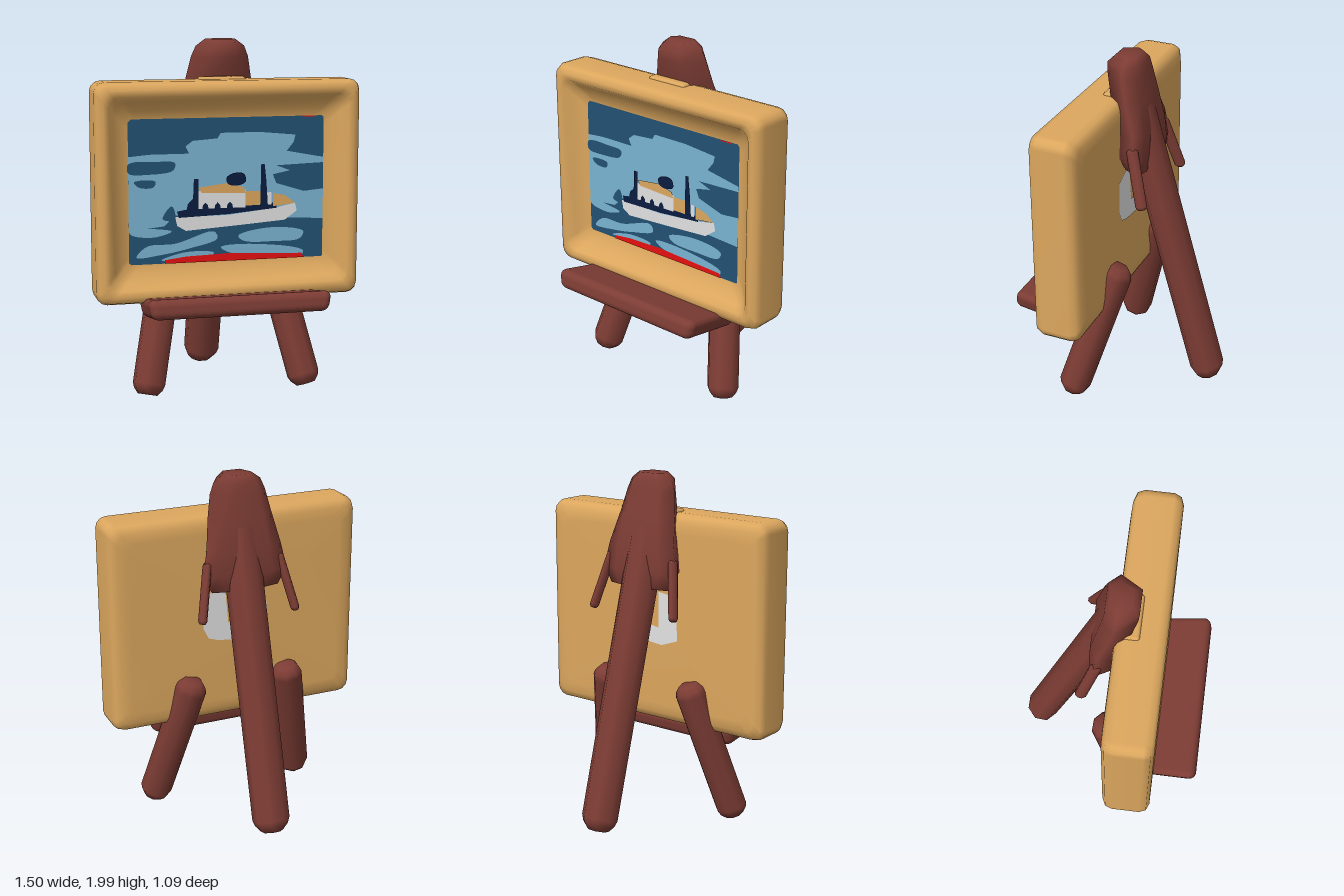
import * as THREE from 'three';
import { RoundedBoxGeometry } from 'three/addons/geometries/RoundedBoxGeometry.js';

const mat = (name, color) => {
  const m = new THREE.MeshStandardMaterial({ color });
  m.name = name;
  return m;
};

// Smooth skin over a list of equal rings, closed at both ends
function loft(rings) {
  const n = rings[0].length, pos = [], idx = [];
  rings.forEach(r => r.forEach(p => pos.push(p.x, p.y, p.z)));
  for (let k = 0; k < rings.length - 1; k++) {
    for (let i = 0; i < n; i++) {
      const a = k * n + i, b = k * n + (i + 1) % n;
      idx.push(a, b, b + n, a, b + n, a + n);
    }
  }
  [0, rings.length - 1].forEach((k, end) => {
    const c = new THREE.Vector3();
    rings[k].forEach(p => c.addScaledVector(p, 1 / n));
    const ci = pos.length / 3;
    pos.push(c.x, c.y, c.z);
    for (let i = 0; i < n; i++) {
      const a = k * n + i, b = k * n + (i + 1) % n;
      if (end) idx.push(ci, a, b); else idx.push(ci, b, a);
    }
  });
  const g = new THREE.BufferGeometry();
  g.setAttribute('position', new THREE.Float32BufferAttribute(pos, 3));
  g.setIndex(idx);
  g.computeVertexNormals();
  return g;
}

// Counter-clockwise rounded rectangle in x, y at depth z
function roundedRing(hw, hh, y, z, r) {
  const ring = [];
  [[1, 1], [-1, 1], [-1, -1], [1, -1]].forEach(([sx, sy], q) => {
    for (let i = 0; i <= 3; i++) {
      const a = (q + i / 3) * Math.PI / 2;
      ring.push(new THREE.Vector3(sx * (hw - r) + r * Math.cos(a), y + sy * (hh - r) + r * Math.sin(a), z));
    }
  });
  return ring;
}

// Chunky eight-sided post with bevelled ends, from one point to another
function post(a, b, rx, rz, bevel) {
  const from = new THREE.Vector3(...a), dir = new THREE.Vector3(...b).sub(from);
  const L = dir.length();
  const profile = [[0, 0], [0.6, 0], [0.88, bevel * 0.5], [1, bevel], [1, L - bevel], [0.88, L - bevel * 0.5], [0.6, L], [0, L]];
  const g = new THREE.LatheGeometry(profile.map(p => new THREE.Vector2(...p)), 8, Math.PI / 8);
  g.scale(rx, 1, rz);
  g.applyQuaternion(new THREE.Quaternion().setFromUnitVectors(new THREE.Vector3(0, 1, 0), dir.normalize()));
  g.translate(from.x, from.y, from.z);
  return g;
}

export function createModel() {
  const root = new THREE.Group();
  root.name = 'easelWithPainting';
  const wood = mat('redBrownWood', 0x7c3c34), tan = mat('goldenTan', 0xdca75e);
  const deep = mat('deepBlue', 0x225273), light = mat('lightBlue', 0x7ab4d1);
  const navy = mat('navy', 0x0b1c40), white = mat('paleGrey', 0xe2e2e2), red = mat('red', 0xe81010);
  const add = (name, geo, material, parent = root) => {
    const m = new THREE.Mesh(geo, material);
    m.name = name;
    parent.add(m);
    return m;
  };

  // Picture frame: closed back, soft outer edge, sloping inner lip
  const frameRows = [[0.64, 0.5, 0.015], [0.7, 0.56, 0.02], [0.738, 0.598, 0.04], [0.75, 0.61, 0.08],
    [0.75, 0.61, 0.24], [0.737, 0.597, 0.278], [0.705, 0.565, 0.294], [0.675, 0.53, 0.287],
    [0.645, 0.5, 0.25], [0.6, 0.45, 0.218], [0.56, 0.41, 0.203], [0.54, 0.39, 0.2]];
  add('pictureFrame', loft(frameRows.map(([w, h, z]) => roundedRing(w, h, 1.17, z, 0.06))), tan);
  add('frameTopRidge', new RoundedBoxGeometry(0.26, 0.04, 0.12, 2, 0.018), tan).position.set(-0.01, 1.775, 0.09);

  // Painting: flat layers, drawn in hundredths of a unit
  const painting = new THREE.Group();
  painting.name = 'painting';
  root.add(painting);
  const plate = (name, material, layer, pts, curved = false) => {
    const v = pts.map(([x, y]) => new THREE.Vector2(x / 100, y / 100));
    const s = new THREE.Shape(curved ? new THREE.CatmullRomCurve3(
      v.map(p => new THREE.Vector3(p.x, p.y, 0)), true).getPoints(40).slice(0, -1).map(p => new THREE.Vector2(p.x, p.y)) : v);
    const m = add(name, new THREE.ShapeGeometry(s), material, painting);
    m.position.z = 0.206 + layer * 0.0015;
    return m;
  };
  const box = (x0, y0, x1, y1) => [[x0, y0], [x1, y0], [x1, y1], [x0, y1]];
  plate('canvas', deep, 0, box(-56, 77, 55.5, 157.5));
  plate('sky', light, 1, [[-56, 96], [-36, 98], [-30, 104], [20, 101], [55.5, 99], [55.5, 116], [44, 115],
    [28, 120], [26, 125], [36, 127], [28, 130], [55.5, 131], [55.5, 134], [34, 138], [38, 143], [39, 147],
    [18, 149], [-4, 149], [-6, 146], [-20, 145], [-24, 142], [-22, 138], [-44, 138], [-56, 137]]);
  [[[-56, 133], [-40, 134], [-30, 133], [-31, 129], [-45, 127], [-56, 128]],
    [[-53, 123], [-46, 124], [-41, 123], [-42, 120], [-50, 120]],
    [[-36, 105], [-32, 109], [-30, 105], [-31, 101], [-37, 102]]].forEach(p => plate('darkCloud', deep, 2, p, true));
  [[[-52, 81], [-46, 87], [-30, 88], [-8, 94], [-6, 90], [-22, 85], [-38, 82]],
    [[6, 91], [25, 95], [44, 92], [42, 88], [27, 87], [9, 88]],
    [[-4, 85], [14, 86], [44, 81], [43, 78.5], [22, 79], [0, 82]],
    [[-38, 79], [-24, 83], [-8, 82], [-12, 79]],
    [[-56, 97], [-45, 97], [-32, 95], [-42, 92], [-55, 94]]].forEach(p => plate('wave', light, 2, p, true));
  plate('redEdge', red, 3, [[-36, 77], [44.5, 77], [43, 79.5], [0, 81.3], [-24, 80.5], [-36, 79]]);
  plate('redTopEdge', red, 3, box(43, 156.9, 50, 157.5));

  // Painted ship
  plate('hull', white, 3, [[-30, 103], [0, 103], [27, 106], [39, 108.5], [40, 104], [33, 99], [6, 97], [-24, 95], [-29, 98]]);
  plate('deck', navy, 4, [[-29, 106], [-18, 108], [28, 109], [28, 106], [0, 103.5], [-28, 102.5]]);
  plate('cabin', white, 5, box(-18, 107, 10, 117));
  plate('cabinRoof', tan, 6, [[-15, 116], [-17, 119], [-1, 121], [9, 118.5], [10, 115]]);
  plate('rearCabin', tan, 5, box(10, 108, 21, 116));
  plate('bow', tan, 5, [[26, 107], [26, 114.5], [33, 113], [39, 108.5]]);
  plate('railing', white, 5, box(22, 108, 25, 115));
  plate('leftMast', navy, 6, [[-24, 105], [-17, 105], [-17, 124], [-19.5, 124], [-20, 113], [-23, 110]]);
  plate('rightMast', navy, 6, [[18.5, 107], [23, 107], [22, 122], [21, 131], [19, 131]]);
  plate('funnel', navy, 7, [[-1, 124], [3, 126.5], [9, 126], [10, 121.5], [5, 119.5], [0, 120.5]], true);
  [-13, -6, 1].forEach(x => plate('cabinArch', navy, 6,
    [[x - 2, 106], [x + 2, 106], [x + 1.4, 109], [x, 110.5], [x - 1.4, 109]]));

  // Pale patch on the back of the frame
  const patch = plate('backPatch', white, 0, [[-19, 106], [-8, 102], [12, 104], [18, 106], [21, 112], [21, 131], [12, 135], [-12, 132], [-18, 124]]);
  const patchCore = plate('backPatchCore', tan, 0, [[-6, 112], [6, 114], [8, 136], [-6, 135]]);
  [patch, patchCore].forEach((m, i) => {
    m.rotation.y = Math.PI;
    m.position.z = 0.011 - i * 0.003;
  });
  [patch, patchCore].forEach(m => m.geometry.scale(-1, 1, 1).index.array.reverse());
  [patch, patchCore].forEach(m => m.geometry.computeVertexNormals());

  // Rear leg
  add('rearLeg', post([0, 0.03, -0.475], [0, 1.8, 0.03], 0.108, 0.098, 0.07), wood);

  // Flared head joining the rear leg to the frame: height, front z, back z, front and back half widths, depth of widest point
  const headRows = [[1.37, 0, -0.11, 0.15, 0.2, 0.85], [1.46, 0.015, -0.115, 0.2, 0.255, 0.8], [1.6, 0.03, -0.11, 0.18, 0.225, 0.75],
    [1.78, 0.1, -0.075, 0.12, 0.19, 0.65], [1.9, 0.135, -0.05, 0.08, 0.165, 0.65], [1.96, 0.14, -0.04, 0.07, 0.14, 0.65],
    [2, 0.1, -0.02, 0.05, 0.085, 0.65]];
  add('easelHead', loft(headRows.map(([y, f, b, wf, wb, t]) => {
    const m = f + (b - f) * t;
    return [[wf, f], [wb, m], [wb * 0.62, b], [-wb * 0.62, b], [-wb, m], [-wf, f]]
      .map(([x, z]) => new THREE.Vector3(x, y, z));
  })), wood);

  // Mirrored prongs and front legs
  [1, -1].forEach(s => {
    add(s > 0 ? 'leftProng' : 'rightProng', post([s * 0.285, 1.22, -0.155], [s * 0.215, 1.54, -0.065], 0.024, 0.034, 0.02), wood);
    add(s > 0 ? 'leftFrontLeg' : 'rightFrontLeg', post([s * 0.465, 0.025, 0.208], [s * 0.29, 0.83, -0.02], 0.093, 0.092, 0.06), wood);
  });

  // Tray, tilted up at the front and tapering to both ends
  const trayGeo = new RoundedBoxGeometry(1.02, 0.11, 0.43, 4, 0.04);
  const p = trayGeo.attributes.position;
  for (let i = 0; i < p.count; i++) {
    const z = p.getZ(i);
    const taper = z > 0 ? 0.12 * z : -0.5 * Math.min(0, z + 0.06);
    p.setX(i, p.getX(i) * (1.01 - taper) * (1 + 0.4 * p.getY(i)));
  }
  trayGeo.computeVertexNormals();
  const tray = add('tray', trayGeo, wood);
  tray.position.set(0, 0.548, 0.332);
  tray.rotation.x = -0.19;
  return root;
}
